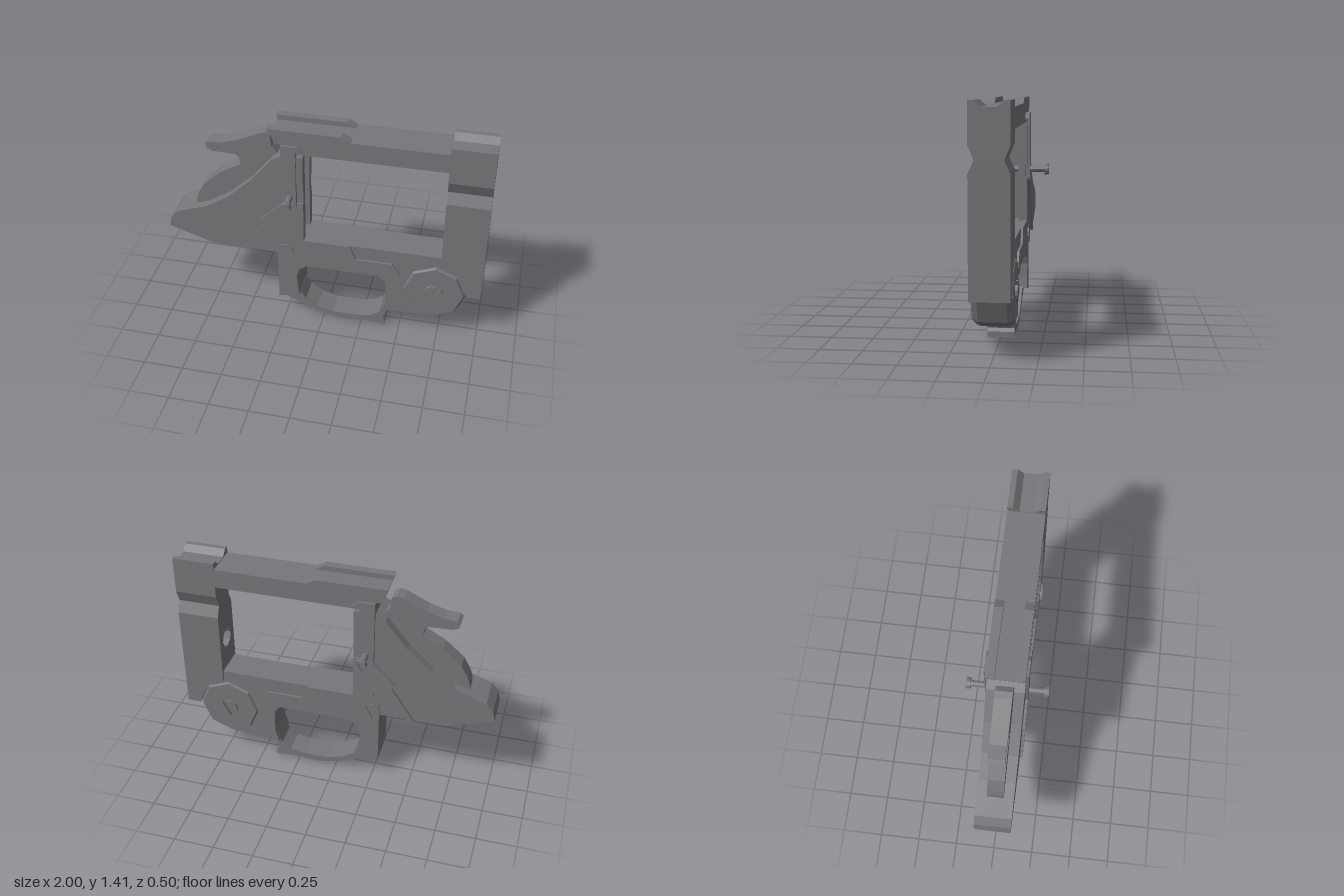
import * as THREE from 'three';

const steel = new THREE.MeshStandardMaterial({ color: 0x77777b });
steel.name = 'gunmetal grey';

const toShape = (pts, hole) => {
  const s = new THREE.Shape(pts.map(([x, y]) => new THREE.Vector2(x, y)));
  if (hole) s.holes.push(new THREE.Path(hole.map(([x, y]) => new THREE.Vector2(x, y))));
  return s;
};

export function createModel() {
  const root = new THREE.Group();
  root.name = 'frame';
  const W = 0.113; // half width of the frame

  const add = (name, geo) => {
    const m = new THREE.Mesh(geo, steel);
    m.name = name;
    root.add(m);
    return m;
  };
  // side outline extruded from z0 to z1
  const plate = (name, pts, z0, z1, hole) => {
    const g = new THREE.ExtrudeGeometry(toShape(pts, hole), { depth: z1 - z0, bevelEnabled: false });
    return add(name, g.translate(0, 0, z0));
  };
  const slab = (name, pts, half) => plate(name, pts, -half, half);
  // the same plate on both sides of the frame
  const sides = (name, pts, z0, z1, hole) => {
    plate(name + 'Left', pts, z0, z1, hole);
    plate(name + 'Right', pts, -z1, -z0, hole);
  };
  // cross-section (z, y) extruded from x0 to x1
  const along = (name, pts, x0, x1, hole) => {
    const g = new THREE.ExtrudeGeometry(toShape(pts, hole), { depth: x1 - x0, bevelEnabled: false });
    return add(name, g.rotateY(Math.PI / 2).translate(x0, 0, 0));
  };
  const arc = (x, y, r, a0, a1, n) => Array.from({ length: n + 1 }, (_, i) => {
    const a = a0 + (a1 - a0) * i / n;
    return [x + r * Math.cos(a), y + r * Math.sin(a)];
  });
  // slotted screw head: two raised segments either side of a diagonal slot
  const screw = (name, x, y, r, z0, z1) => {
    for (const turn of [0, Math.PI]) {
      const a = THREE.MathUtils.degToRad(62) + turn;
      sides(name, arc(x, y, r, a + 0.28, a + Math.PI - 0.28, 5), z0, z1);
    }
  };
  // faceted rod or cone along z
  const rod = (name, x, y, rNear, rFar, z0, z1) => {
    const g = new THREE.CylinderGeometry(rFar, rNear, z1 - z0, 8).rotateX(Math.PI / 2).toNonIndexed();
    g.computeVertexNormals();
    return add(name, g.translate(x, y, (z0 + z1) / 2));
  };

  // --- top strap with a side groove and a pair of sight rails
  const strap = [[-0.31, 1.38], [0.74, 1.38], [0.74, 1.26], [-0.16, 1.26], [-0.16, 1.32], [-0.29, 1.32]];
  slab('topStrapCore', strap, 0.098);
  sides('topStrapSkin', strap, 0.098, W, [[-0.145, 1.318], [0.6, 1.318], [0.635, 1.275], [-0.1, 1.275]]);
  sides('sightRail', [[-0.32, 1.412], [0.11, 1.412], [0.17, 1.38], [-0.31, 1.38]], 0.06, W);

  // --- front block, pinched at the sides and grooved on top
  const half = [[W, 0.565], [W, 1.04], [0.08, 1.11], [W, 1.19], [W, 1.42], [0.08, 1.42], [0.042, 1.385]];
  const section = [...half, ...half.map(([z, y]) => [-z, y]).reverse()];
  along('frontBlockRear', section, 0.74, 0.86, arc(0, 0.83, 0.065, 0, Math.PI * 1.75, 7));
  along('frontBlock', section, 0.86, 1);
  slab('frontBlockFoot', [[0.74, 0.565], [0.74, 0.555], [0.855, 0.505], [0.915, 0.36], [1, 0.36], [1, 0.565]], W);

  // --- lower frame
  const guardEdge = [[-0.155, 0.18], [-0.165, 0.26], [-0.17, 0.34], [-0.155, 0.39], [-0.1, 0.43],
    [0.36, 0.43], [0.4, 0.39]];
  slab('lowerFrame', [[-0.29, 0.15], ...guardEdge, [0.405, 0.36], [0.405, 0.21], [0.38, 0.13], [0.43, 0.15],
    [0.71, 0.16], [0.85, 0.22], [0.9, 0.36], [0.9, 0.6], [0.74, 0.63], [-0.29, 0.63]], 0.1);
  sides('raisedPanel', [[-0.29, 0.15], ...guardEdge, [0.46, 0.405], [0.485, 0.44], [0.485, 0.48], [0.44, 0.535],
    [0.21, 0.535], [0.17, 0.63], [-0.29, 0.63]], 0.1, W);

  // --- narrow trigger guard bow
  slab('triggerGuard', [[-0.29, 0.15], [-0.18, 0.1], [-0.1, 0.06], [0, 0.03], [0.08, 0.01], [0.15, 0.005],
    [0.3, 0.015], [0.405, 0.005], [0.405, 0.04], [0.39, 0.06], [0.41, 0.11], [0.43, 0.15], [0.43, 0.25],
    [0.405, 0.21], [0.37, 0.11], [0.31, 0.065], [0.22, 0.05], [0.06, 0.05], [-0.04, 0.08],
    [-0.12, 0.13], [-0.155, 0.19], [-0.2, 0.19]], 0.08);

  // --- rear post with a slot facing the window
  slab('rearPost', [[-0.25, 0.6], [-0.21, 0.6], [-0.21, 1.32], [-0.25, 1.32]], W);
  sides('postCheek', [[-0.21, 0.6], [-0.16, 0.6], [-0.16, 1.32], [-0.21, 1.32]], 0.06, W);
  sides('postLipLower', [[-0.16, 0.62], [-0.12, 0.62], [-0.12, 0.91], [-0.16, 0.91]], 0.06, W);
  sides('postLipNotch', [[-0.16, 0.91], [-0.12, 0.91], [-0.12, 0.99], [-0.16, 0.99]], 0.06, 0.1);
  sides('postLipUpper', [[-0.16, 0.99], [-0.12, 0.99], [-0.12, 1.24], [-0.16, 1.24]], 0.06, W);

  // --- rear body and hammer
  slab('rearBody', [[-1, 0.61], [-0.985, 0.68], [-0.94, 0.73], [-0.74, 0.8], [-0.6, 0.89], [-0.45, 1.03],
    [-0.31, 1.2], [-0.25, 1.235], [-0.22, 1.235], [-0.22, 0.51], [-0.7, 0.51]], 0.111);
  slab('hammer', [[-0.83, 0.74], [-0.825, 0.8], [-0.81, 0.85], [-0.765, 0.93], [-0.65, 1.03], [-0.525, 1.1],
    [-0.53, 1.15], [-0.55, 1.17], [-0.7, 1.175], [-0.73, 1.19], [-0.74, 1.22], [-0.72, 1.235],
    [-0.64, 1.24], [-0.54, 1.27], [-0.4, 1.335], [-0.36, 1.345], [-0.33, 1.33], [-0.325, 1.26],
    [-0.29, 1.22], [-0.29, 0.9], [-0.5, 0.74]], 0.05);

  // --- side plate running down the post and diagonally back
  sides('sidePlate', [[-0.25, 1.315], [-0.15, 1.315], [-0.11, 1.28], [-0.16, 1.28], [-0.16, 0.89],
    [-0.29, 0.76], [-0.46, 0.515], [-0.51, 0.515], [-0.365, 0.735], [-0.39, 0.76], [-0.25, 0.9]], 0.105, 0.128);

  // --- bevelled octagonal drum with its screws
  rod('drum', 0.71, 0.36, 0.205, 0.205, -0.082, 0.082);
  rod('drumBevelLeft', 0.71, 0.36, 0.205, 0.185, 0.082, 0.115);
  rod('drumBevelRight', 0.71, 0.36, 0.185, 0.205, -0.115, -0.082);
  screw('drumScrew', 0.71, 0.36, 0.06, 0.11, 0.13);
  screw('frameScrew', -0.24, 0.53, 0.057, 0.108, 0.122);

  // --- cross pin with knobs at both ends
  const px = -0.2, py = 0.953;
  rod('pinShaft', px, py, 0.02, 0.02, -0.225, 0.225);
  for (const s of [-1, 1]) {
    const a = s * 0.22, b = s * 0.238;
    rod('pinKnob', px, py, 0.036, 0.036, Math.min(a, b), Math.max(a, b));
  }
  screw('pinSlot', px, py, 0.034, 0.236, 0.248);

  return root;
}
